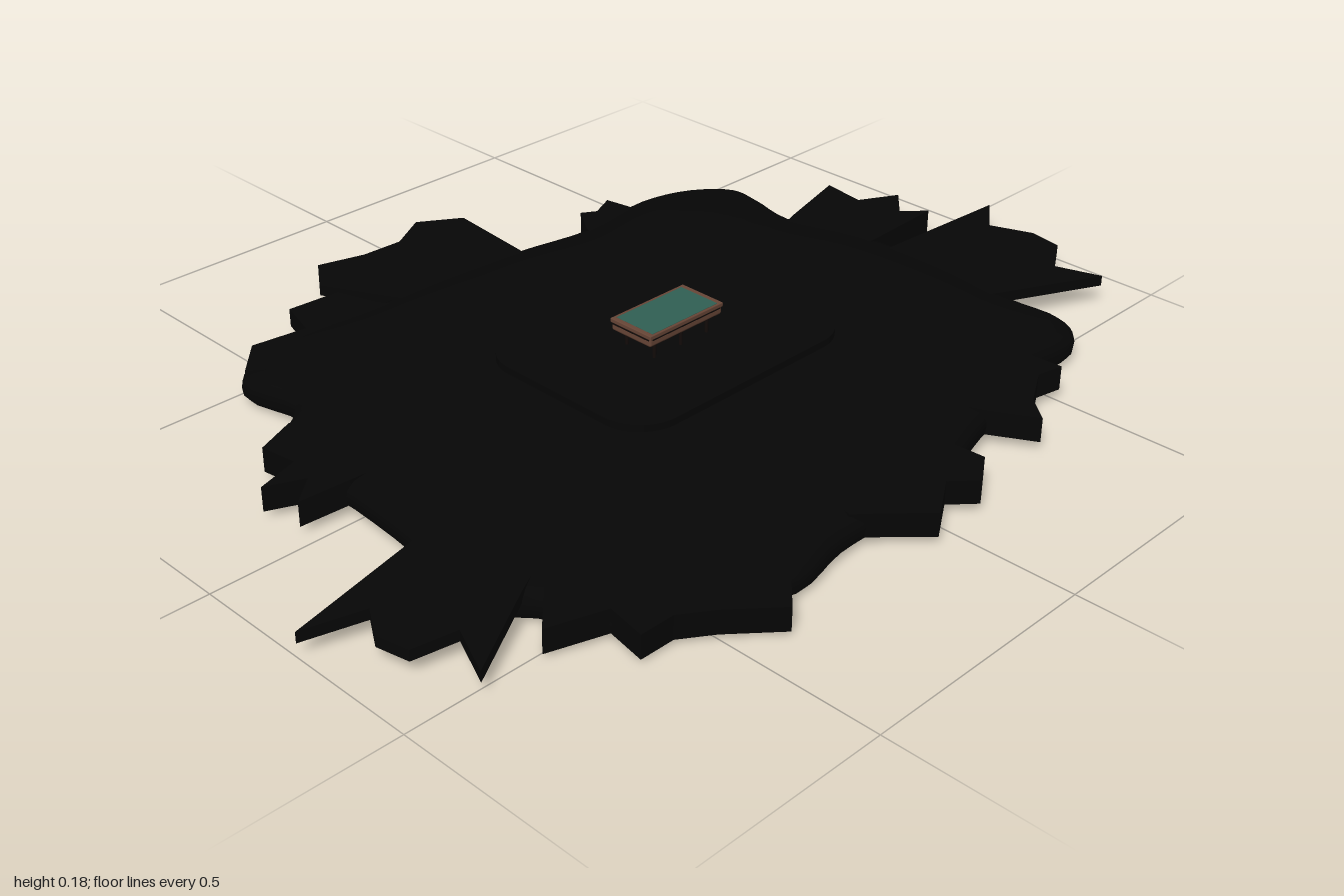
import * as THREE from 'three';
import { RoundedBoxGeometry } from 'three/addons/geometries/RoundedBoxGeometry.js';

const mat = (name, color, side = THREE.FrontSide) => {
  const m = new THREE.MeshStandardMaterial({ color, side });
  m.name = name;
  return m;
};
const CX = 0.073; // centre line of the mound, plate and table
const THICK = 0.062; // thickness of the mound

// Height of the gently sloping ground, a little higher towards the back
const ground = (x, z) => 0.12 - 0.065 * Math.hypot(x * 1.15, z) + 0.016 * Math.max(0, -z);

// Rounded mound: a thick sheet whose underside follows the slope
function moundGeometry() {
  const outline = [
    [-.45, -.28], [-.48, -.48], [-.45, -.6], [-.38, -.67], [-.3, -.66], [-.18, -.63], [0, -.68], [.2, -.69],
    [.38, -.68], [.5, -.69], [.55, -.64], [.55, -.52], [.58, -.42], [.62, -.25], [.66, -.1], [.67, .05],
    [.67, .2], [.69, .33], [.64, .45], [.6, .58], [.52, .64], [.44, .68], [.38, .73], [.3, .75], [.22, .72],
    [0, .7], [-.15, .7], [-.25, .66], [-.32, .59], [-.47, .6], [-.53, .5], [-.51, .3], [-.5, .1], [-.48, -.1],
  ];
  const n = 136;
  const curve = new THREE.CatmullRomCurve3(outline.map(([x, z]) => new THREE.Vector3(x, 0, z)), true);
  const edge = curve.getPoints(n).slice(0, n);
  // [scale from centre, drop below the ground], from the top centre over the rim to the underside
  const rings = [
    [.001, 0], [.3, 0], [.6, 0], [.85, 0], [.94, .002], [.975, .008], [.995, .02], [1, .032], [.997, .05],
    [.985, THICK - .003], [.965, THICK], [.9, THICK], [.6, THICK], [.3, THICK], [.001, THICK],
  ];
  const pos = [], index = [];
  rings.forEach(([s, drop], j) => edge.forEach((p, i) => {
    const x = CX + (p.x - CX) * s, z = p.z * s;
    pos.push(x, ground(x, z) - drop, z);
    if (j === rings.length - 1) return;
    const a = j * n + i, b = j * n + (i + 1) % n;
    index.push(a, b, a + n, b, b + n, a + n);
  }));
  const g = new THREE.BufferGeometry();
  g.setAttribute('position', new THREE.Float32BufferAttribute(pos, 3));
  g.setIndex(index);
  g.computeVertexNormals();
  return g;
}

// Jagged sheet that follows the slope of the ground, its root hidden in the mound
function shardGeometry(points, thickness) {
  const root = p => [CX + (p[0] - CX) * .88, p[1] * .88];
  const all = [root(points[0]), ...points, root(points[points.length - 1])];
  const shape = new THREE.Shape(all.map(([x, z]) => new THREE.Vector2(x, -z)));
  const g = new THREE.ExtrudeGeometry(shape, { depth: thickness, bevelEnabled: false });
  g.rotateX(-Math.PI / 2);
  const p = g.attributes.position;
  for (let i = 0; i < p.count; i++) {
    p.setY(i, ground(p.getX(i), p.getZ(i)) - .002 - thickness + p.getY(i));
  }
  g.computeVertexNormals();
  return g;
}

const SHARDS = [
  { name: 'backRightShard', t: .052, p: [[-.17, -.63], [-.23, -.82], [-.13, -.8], [-.09, -.89], [-.03, -.82], [.01, -.87], [.03, -.67]] },
  { name: 'backShard', t: .022, p: [[.078, -.56], [.078, -1], [.145, -.91], [.23, -.95], [.3, -.94], [.355, -.85], [.445, -.89], [.36, -.67]] },
  { name: 'leftBackShard', t: .05, p: [[.55, -.5], [.61, -.51], [.6, -.45], [.645, -.37], [.695, -.33], [.61, -.27]] },
  { name: 'leftShard', t: .048, p: [[.64, -.14], [.7, -.15], [.74, -.09], [.7, -.04], [.75, .04], [.69, .11], [.65, .16]] },
  { name: 'leftFrontShard', t: .048, p: [[.67, .33], [.745, .41], [.67, .5], [.63, .56], [.627, .63], [.55, .62], [.51, .73], [.44, .66]] },
  { name: 'frontShard', t: .022, p: [[.19, .71], [.238, 1], [.278, .885], [.335, .92], [.4, .905], [.42, .82], [.515, .86], [.42, .69]] },
  { name: 'frontRightShard', t: .05, p: [[-.25, .65], [-.22, .73], [-.14, .72], [-.12, .805], [-.08, .735], [-.035, .79], [-.02, .69]] },
  { name: 'rightFrontShard', t: .038, p: [[-.5, .25], [-.6, .27], [-.615, .38], [-.52, .41], [-.545, .52], [-.47, .59]] },
  { name: 'rightShard', t: .022, p: [[-.47, -.1], [-.69, -.14], [-.755, -.06], [-.7, .03], [-.705, .12], [-.74, .215], [-.655, .275], [-.5, .22]] },
  { name: 'rightBackShard', t: .05, p: [[-.45, -.415], [-.52, -.41], [-.49, -.35], [-.51, -.32], [-.44, -.27]] },
];

// Flat slab with rounded corners
function plateGeometry(w, d, r, h) {
  const x = w / 2, y = d / 2, s = new THREE.Shape();
  s.moveTo(-x + r, -y);
  s.lineTo(x - r, -y);
  s.absarc(x - r, -y + r, r, -Math.PI / 2, 0);
  s.absarc(x - r, y - r, r, 0, Math.PI / 2);
  s.absarc(-x + r, y - r, r, Math.PI / 2, Math.PI);
  s.absarc(-x + r, -y + r, r, Math.PI, Math.PI * 1.5);
  const g = new THREE.ExtrudeGeometry(s, { depth: h, bevelEnabled: false, curveSegments: 10 });
  return g.rotateX(-Math.PI / 2);
}

export function createModel() {
  const black = mat('black ground', 0x060606, THREE.DoubleSide);
  const wood = mat('brown wood', 0x684637);
  const dark = mat('dark wood', 0x120b09);
  const felt = mat('green felt', 0x316054);
  const model = new THREE.Group();
  const add = (parent, name, geometry, material, x = 0, y = 0, z = 0) => {
    const m = new THREE.Mesh(geometry, material);
    m.name = name;
    m.position.set(x, y, z);
    parent.add(m);
    return m;
  };

  // Ground
  add(model, 'mound', moundGeometry(), black);
  const shards = new THREE.Group();
  shards.name = 'shards';
  SHARDS.forEach(s => add(shards, s.name, shardGeometry(s.p, s.t), black));
  model.add(shards);
  add(model, 'floorPlate', plateGeometry(.433, .577, .09, .014), black, CX, .11, .007);

  // Table
  const table = new THREE.Group();
  table.name = 'table';
  table.position.set(CX, 0, .008);
  model.add(table);
  add(table, 'tableBody', new RoundedBoxGeometry(.102, .021, .192, 2, .005), wood, 0, .1685, 0);
  add(table, 'lowerTrim', new THREE.BoxGeometry(.092, .004, .182), dark, 0, .158, 0);
  add(table, 'feltTop', new THREE.BoxGeometry(.094, .004, .174), felt, 0, .1805, 0);
  for (const s of [-1, 1]) {
    add(table, 'endRail', new RoundedBoxGeometry(.106, .009, .011, 1, .002), wood, 0, .1785, s * .0915);
    add(table, 'sideRail', new RoundedBoxGeometry(.006, .009, .19, 1, .002), wood, s * .05, .1785, 0);
    add(table, 'sideTrim', new THREE.BoxGeometry(.002, .003, .18), dark, s * .051, .173, 0);
    add(table, 'endTrim', new THREE.BoxGeometry(.094, .003, .002), dark, 0, .173, s * .0958);
    for (const z of [-.07, 0, .07]) {
      add(table, 'leg', new THREE.CylinderGeometry(.004, .0035, .038, 10), dark, s * .036, .141, z);
    }
  }
  return model;
}
